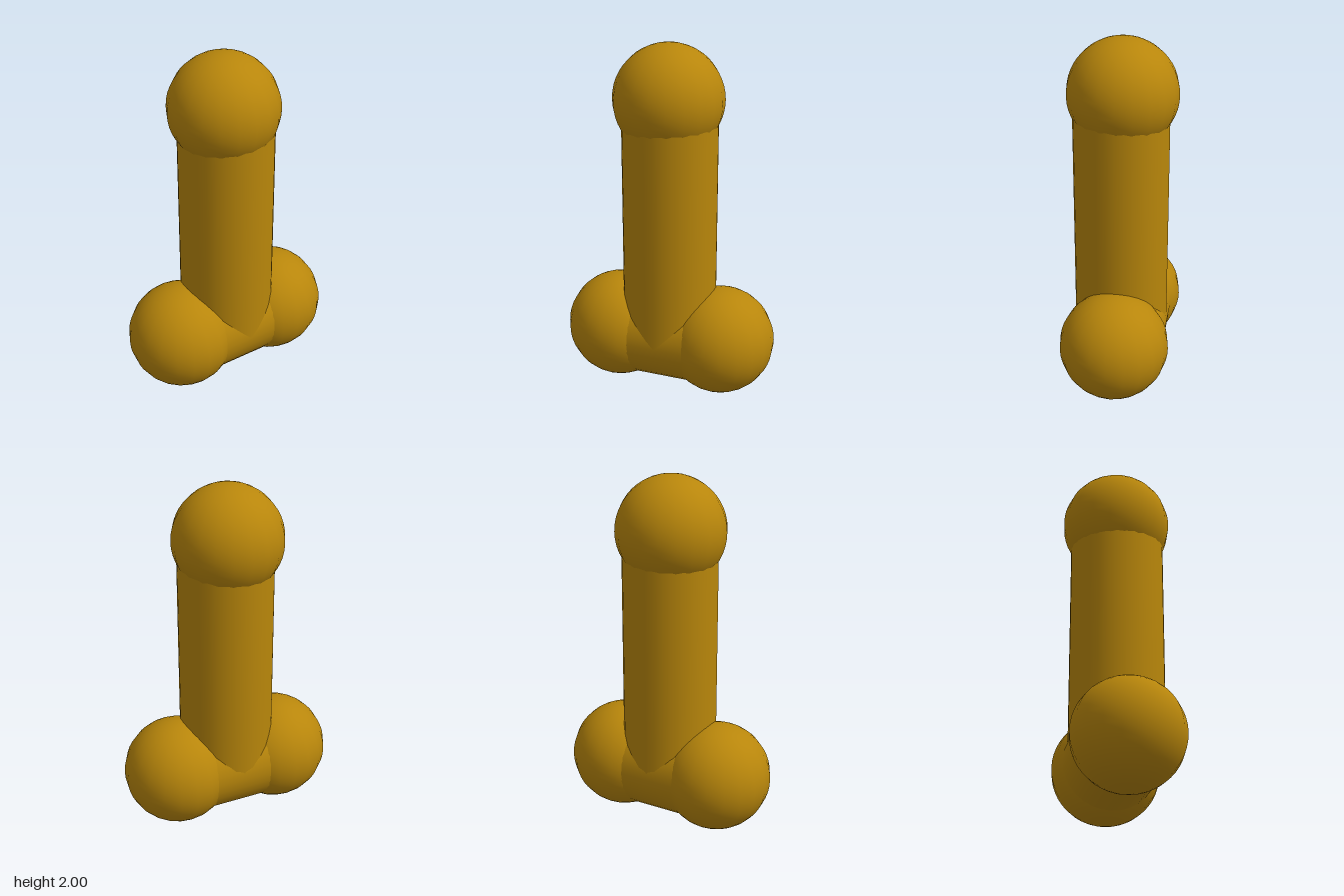
import * as THREE from 'three';

export function createModel() {
  const group = new THREE.Group();
  const material = new THREE.MeshStandardMaterial({ color: 0xb8860b });

  const add = (name, geometry, x, y, z) => {
    const mesh = new THREE.Mesh(geometry, material);
    mesh.name = name;
    mesh.position.set(x, y, z);
    group.add(mesh);
    return mesh;
  };

  const ballRadius = 0.305;
  const baseY = 0.31;
  const topY = 1.695;
  const ball = new THREE.SphereGeometry(ballRadius, 20, 24);

  // Two base balls joined by a horizontal bar
  add('leftBall', ball, 0.307, baseY, 0);
  add('rightBall', ball, -0.307, baseY, 0);
  const bar = add('crossBar', new THREE.CylinderGeometry(0.266, 0.266, 0.6, 32), 0, baseY, 0);
  bar.rotation.z = Math.PI / 2;

  // Upright column rising from the bar, capped by a slightly offset ball
  add('column', new THREE.CylinderGeometry(0.264, 0.264, topY - baseY, 32), 0, (topY + baseY) / 2, 0.002);
  add('topBall', ball, -0.01, topY, -0.005);

  return group;
}
